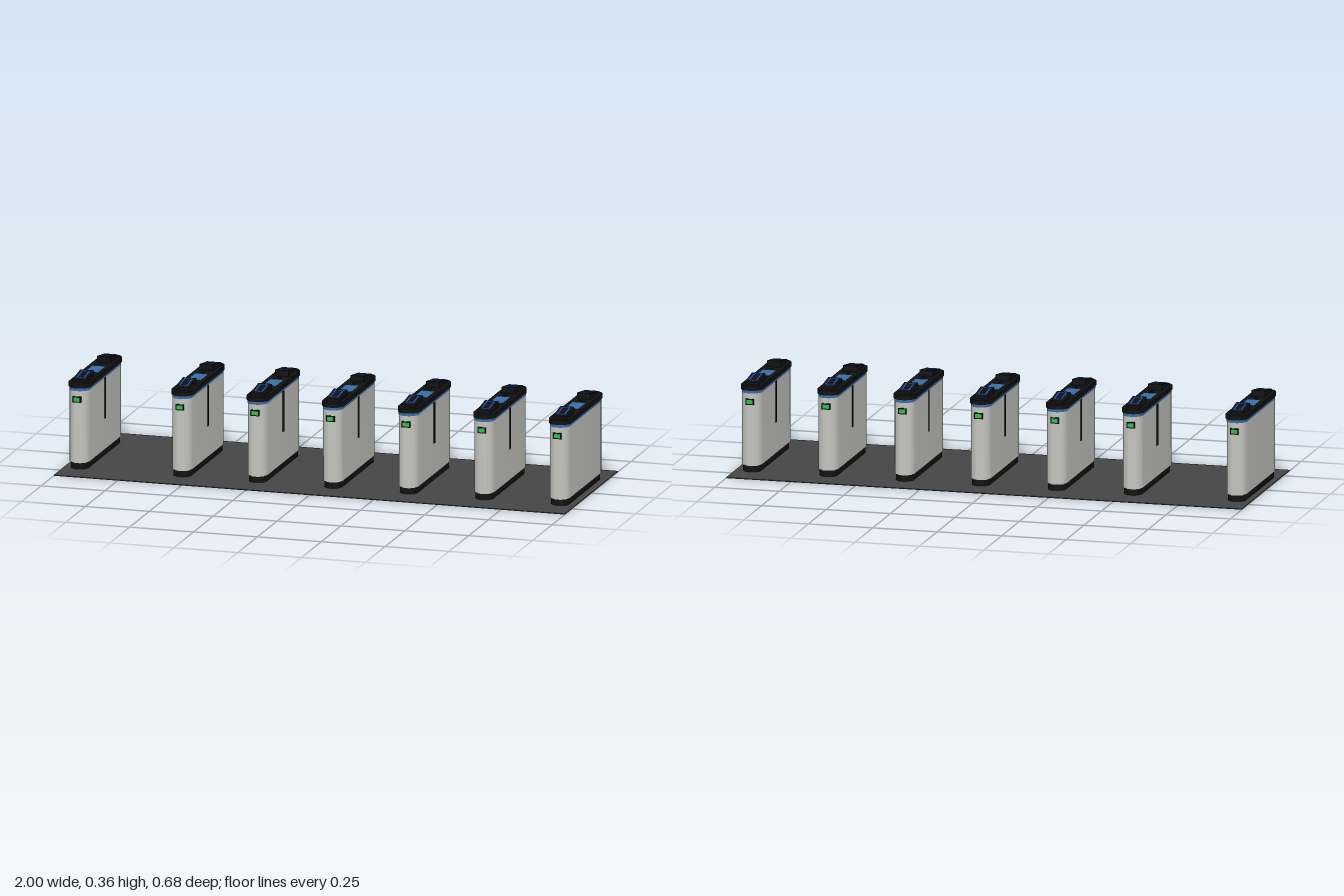
import * as THREE from 'three';
import { toCreasedNormals } from 'three/addons/utils/BufferGeometryUtils.js';

const mat = (name, color) => new THREE.MeshStandardMaterial({ name, color });

// Upright slab with a stadium outline: half length along z, half width along x
function stadium(halfLength, halfWidth, y0, y1) {
  const s = new THREE.Shape();
  const c = halfLength - halfWidth;
  s.absarc(0, c, halfWidth, 0, Math.PI, false);
  s.absarc(0, -c, halfWidth, Math.PI, Math.PI * 2, false);
  s.closePath();
  const g = new THREE.ExtrudeGeometry(s, { depth: y1 - y0, bevelEnabled: false, curveSegments: 20 });
  g.rotateX(-Math.PI / 2).translate(0, y0, 0);
  return toCreasedNormals(g, 0.6);
}

// Sloping reader block, profile drawn in z and y
function wedge(width) {
  const s = new THREE.Shape([[0.105, 0.332], [0.205, 0.332], [0.205, 0.342], [0.105, 0.356]]
    .map(([z, y]) => new THREE.Vector2(z, y)));
  const g = new THREE.ExtrudeGeometry(s, { depth: width, bevelEnabled: false });
  return g.translate(0, 0, -width / 2).rotateY(-Math.PI / 2);
}

// Thin rectangular outline lying flat
function outline(halfX, halfZ, line) {
  const rect = (P, a, b) => new P([[-a, -b], [a, -b], [a, b], [-a, b]].map(([x, y]) => new THREE.Vector2(x, y)));
  const s = rect(THREE.Shape, halfX, halfZ);
  s.holes.push(rect(THREE.Path, halfX - line, halfZ - line));
  return new THREE.ExtrudeGeometry(s, { depth: 0.0015, bevelEnabled: false }).rotateX(-Math.PI / 2);
}

export function createModel() {
  const model = new THREE.Group();
  model.name = 'turnstileRow';
  const steel = mat('lightSteel', 0xc3c4be);
  const black = mat('black', 0x111111);
  const blue = mat('bandBlue', 0x3a6ca3);
  const bright = mat('readerBlue', 0x2060d8);
  const green = mat('signalGreen', 0x2fc04c);
  const grey = mat('floorGrey', 0x454545);

  const add = (parent, name, geo, material, x = 0, y = 0, z = 0) => {
    const m = new THREE.Mesh(geo, material);
    m.name = name;
    m.position.set(x, y, z);
    parent.add(m);
    return m;
  };

  // Geometry shared by every cabinet
  const geo = {
    plinth: stadium(0.229, 0.0345, 0.001, 0.027),
    body: stadium(0.233, 0.0385, 0.027, 0.305),
    band: stadium(0.2335, 0.039, 0.305, 0.316),
    lid: stadium(0.237, 0.0425, 0.316, 0.333),
    panel: new THREE.BoxGeometry(0.053, 0.002, 0.1),
    reader: wedge(0.053),
    readerOutline: outline(0.0165, 0.0365, 0.005),
    display: new THREE.BoxGeometry(0.032, 0.023, 0.016),
    screen: new THREE.BoxGeometry(0.024, 0.015, 0.002),
    bump: new THREE.BoxGeometry(0.012, 0.003, 0.011),
    slot: new THREE.BoxGeometry(0.004, 0.158, 0.013),
    wideSlot: new THREE.BoxGeometry(0.004, 0.158, 0.02),
  };

  // Floor plate
  add(model, 'floorPlate', new THREE.BoxGeometry(2, 0.003, 0.68), grey, 0, 0.0015, 0);

  const positions = [-0.942, -0.54, -0.245, 0.05, 0.346, 0.642, 0.938];
  positions.forEach((x, i) => {
    const gate = new THREE.Group();
    gate.name = 'gateCabinet' + (i + 1);
    gate.position.x = x;
    model.add(gate);

    add(gate, 'plinth', geo.plinth, black);
    add(gate, 'body', geo.body, steel);
    add(gate, 'band', geo.band, blue);
    add(gate, 'lid', geo.lid, black);
    add(gate, 'topPanel', geo.panel, blue, 0, 0.3335, 0);

    // Reader, sensor and display at both ends
    for (const turn of [0, Math.PI]) {
      const end = new THREE.Group();
      end.name = turn ? 'backEnd' : 'frontEnd';
      end.rotation.y = turn;
      gate.add(end);
      add(end, 'cardReader', geo.reader, black);
      const ring = add(end, 'readerOutline', geo.readerOutline, bright, 0, 0.3494, 0.152);
      ring.rotation.x = Math.atan2(0.014, 0.1);
      add(end, 'sensor', geo.bump, black, 0, 0.334, 0.07);
      add(end, 'display', geo.display, black, 0, 0.273, 0.2285);
      add(end, 'displayScreen', geo.screen, green, 0, 0.273, 0.2362);
    }

    // Flap slots only on the sides facing a lane
    if (i < positions.length - 1) add(gate, 'leftFlapSlot', geo.slot, black, 0.0385, 0.226, 0);
    if (i > 0) add(gate, 'rightFlapSlot', i === 1 ? geo.wideSlot : geo.slot, black, -0.0385, 0.226, 0);
  });

  return model;
}
